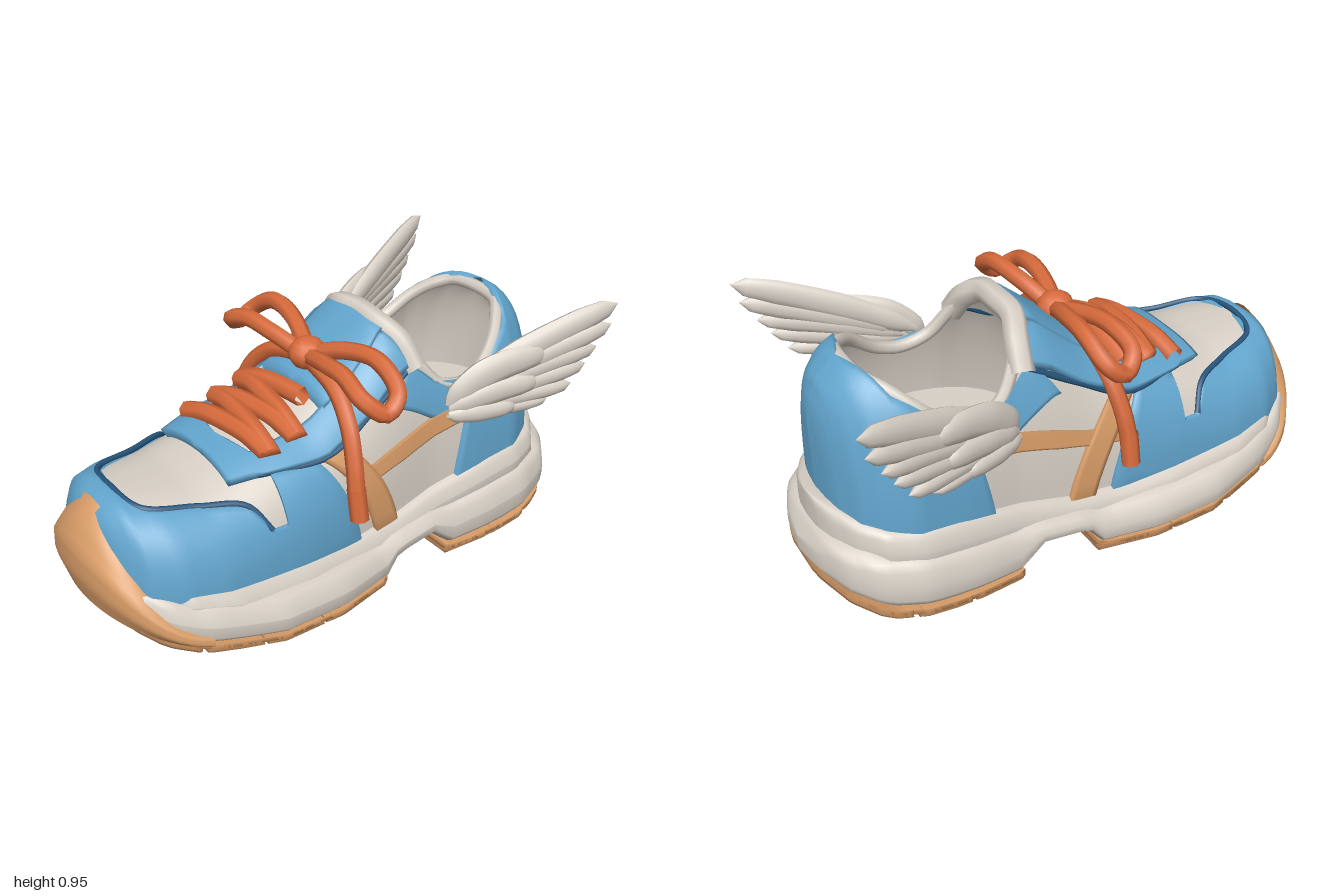
import * as THREE from 'three';

const mat = (name, color) => new THREE.MeshStandardMaterial({ name, color, side: THREE.DoubleSide });
const { lerp, clamp } = THREE.MathUtils;

// Piecewise linear curve through [x, value] points
const track = (pts) => (x) => {
  if (x <= pts[0][0]) return pts[0][1];
  for (let i = 1; i < pts.length; i++) {
    const [x0, y0] = pts[i - 1], [x1, y1] = pts[i];
    if (x <= x1) return lerp(y0, y1, (x - x0) / (x1 - x0));
  }
  return pts[pts.length - 1][1];
};

// Signed power, for rounded-box sections
const spow = (v, p) => Math.sign(v) * Math.pow(Math.abs(v), p);

// Upper: half width, crown height and collar rim along x
const upperW = track([[-.94, 0], [-.93, .1], [-.9, .2], [-.85, .275], [-.75, .335], [-.6, .36], [-.3, .36], [0, .335],
  [.3, .315], [.5, .33], [.68, .33], [.78, .28], [.84, .22], [.88, .13], [.895, .06], [.9, 0]]);
const upperTop = track([[-.94, .45], [-.9, .53], [-.85, .57], [-.6, .56], [-.5, .58], [-.4, .61], [-.2, .66], [0, .77],
  [.15, .9], [.22, .92], [.3, .93], [.5, .93], [.7, .9], [.76, .88], [.8, .86], [.86, .8], [.89, .72], [.9, .64]]);
const rim = track([[.2, .93], [.22, .9], [.27, .8], [.35, .7], [.45, .67], [.55, .7], [.65, .78], [.72, .835], [.77, .86], [.79, .88]]);
const BASE = .2, POW = .75;

// Angle around the upper's section (0 = crown, PI/2 = bottom) for a height
const angleAt = (x, y) => Math.acos(Math.pow(clamp((y - BASE) / (upperTop(x) - BASE), 0, 1), 1 / POW));
const onUpper = (x, a, side, off = 0) => [
  x * (1 + off),
  BASE + (upperTop(x) - BASE + off) * Math.pow(Math.max(0, Math.cos(a)), POW),
  side * (upperW(x) + off * Math.min(1, upperW(x) * 12)) * Math.pow(Math.max(0, Math.sin(a)), POW)];
const upperAtZ = (x, z, off) => {
  const s = Math.pow(clamp(Math.abs(z) / upperW(x), 0, 1), 1 / POW);
  return onUpper(x, Math.asin(s), Math.sign(z), off);
};

// Sole: half width, underside and top along x
const soleW = track([[-.97, 0], [-.96, .12], [-.94, .2], [-.9, .28], [-.82, .36], [-.7, .415], [-.45, .47], [-.2, .465], [.05, .415],
  [.25, .4], [.5, .42], [.7, .415], [.85, .36], [.93, .27], [.98, .15], [.993, .08], [1, 0]]);
const soleBottom = track([[-1, .34], [-.95, .235], [-.85, .155], [-.74, .105], [-.6, .075], [-.45, .05], [-.2, .035], [.02, .035],
  [.07, .12], [.26, .13], [.34, .035], [.6, .035], [.8, .055], [.92, .11], [1, .17]]);
const soleTop = track([[-1, .42], [-.9, .36], [-.75, .3], [-.5, .25], [-.2, .23], [0, .22], [.3, .25], [.6, .29], [.85, .315], [.96, .3], [1, .23]]);
const tierW = track([[-.86, 0], [-.85, .2], [-.83, .3], [-.75, .365], [-.6, .405], [-.3, .41], [0, .38], [.3, .36], [.5, .375],
  [.68, .375], [.8, .335], [.88, .25], [.93, .15], [.95, .08], [.955, 0]]);
const tierTop = track([[-.86, .36], [-.6, .3], [-.1, .255], [.1, .27], [.3, .315], [.55, .365], [.75, .38], [.955, .415]]);

export function createModel() {
  const shoe = new THREE.Group();
  shoe.name = 'wingedSneaker';
  const blue = mat('blue panels', 0x62a4cc), grey = mat('warm grey', 0xd8d0c6), tan = mat('tan rubber', 0xd99d68);
  const orange = mat('orange laces', 0xd86b3c), navy = mat('navy edging', 0x28567c);

  const add = (name, geo, m, parent = shoe) => {
    const mesh = new THREE.Mesh(geo, m);
    mesh.name = name;
    parent.add(mesh);
    return mesh;
  };
  // Surface from a rule on a unit grid
  const grid = (name, m, nu, nv, fn, parent) => {
    const pos = [], idx = [];
    for (let i = 0; i <= nu; i++) for (let j = 0; j <= nv; j++) {
      pos.push(...fn(i / nu, j / nv, i, j));
      if (i < nu && j < nv) {
        const a = i * (nv + 1) + j, b = a + nv + 1;
        idx.push(a, b, a + 1, b, b + 1, a + 1);
      }
    }
    const g = new THREE.BufferGeometry();
    g.setAttribute('position', new THREE.Float32BufferAttribute(pos, 3));
    g.setIndex(idx);
    g.computeVertexNormals();
    return add(name, g, m, parent);
  };
  const tube = (name, m, pts, r, closed = false, seg = 40, parent) => add(name, new THREE.TubeGeometry(
    new THREE.CatmullRomCurve3(pts.map((p) => new THREE.Vector3(...p)), closed), seg, r, 7, closed), m, parent);
  // Raised panel on both sides, ruled between two [x, y] outlines; its border drops to the upper
  const panel = (name, m, lower, upper, off) => {
    const lo = lower.map(([x, y]) => [x, angleAt(x, y)]), hi = upper.map(([x, y]) => [x, angleAt(x, y)]);
    const n = lo.length - 1, nu = n * 6 + 2, nv = 14;
    for (const side of [1, -1]) grid(name, m, nu, nv, (u, v, i, j) => {
      const s = clamp((i - 1) / (nu - 2), 0, 1) * n, k = Math.min(n - 1, Math.floor(s)), f = s - k;
      const t = clamp((j - 1) / (nv - 2), 0, 1);
      const mix = (c) => lerp(lerp(lo[k][c], lo[k + 1][c], f), lerp(hi[k][c], hi[k + 1][c], f), t);
      const x = mix(0), a = mix(1);
      const edge = upperW(x) > .01 && (i === 0 || i === nu || j === 0 || (j === nv && a > .02));
      return onUpper(x, a, side, edge ? 0 : off);
    });
  };

  // Upper shell with the ankle opening
  for (const side of [1, -1]) grid('upperShell', grey, 72, 16, (u, v) => {
    const x = -.02 - .92 * Math.cos(u * Math.PI);
    return onUpper(x, lerp(angleAt(x, rim(x)), Math.PI / 2, v), side);
  });
  const insole = add('insole', new THREE.CylinderGeometry(1, 1, .02, 32), grey);
  insole.scale.set(.35, 1, .28);
  insole.position.set(.48, .45, 0);

  // Padded collar and tongue
  const rimXs = [.215, .24, .28, .35, .45, .55, .65, .72, .765];
  const rimSide = (side) => rimXs.map((x) => onUpper(x, angleAt(x, rim(x)), side, -.008));
  tube('collarPadding', grey, [...rimSide(1), ...rimSide(-1).reverse()], .024, true, 80);
  tube('tongueEnd', grey, [[.25, .77, .25], [.23, .86, .18], [.2, .905, .1], [.2, .915, 0], [.2, .905, -.1], [.23, .86, -.18], [.25, .77, -.25]], .045);
  panel('tongueTab', blue, [[-.1, .68], [.04, .77], [.12, .84], [.2, .89]], [[-.1, 1], [.04, 1], [.12, 1], [.2, 1]], .034);

  // Blue overlays
  const guardEdge = [[-.82, 1], [-.79, .55], [-.62, .525], [-.48, .505], [-.42, .42], [-.36, .42], [-.36, .56]];
  panel('toeGuard', blue,
    [[-.94, .2], [-.85, .2], [-.8, .2], [-.65, .2], [-.52, .2], [-.44, .2], [-.36, .2], [-.355, .2], [-.05, .2]],
    [[-.94, 1], ...guardEdge, [-.2, .57]], .016);
  const trim = (side) => guardEdge.slice(0, 5).map(([x, y]) => onUpper(x, angleAt(x, y), side, .012));
  tube('toeGuardEdge', navy, [...trim(1).reverse(), ...trim(-1).slice(1)], .011, false, 80);
  panel('eyestay', blue, [[-.5, .55], [-.41, .56], [-.38, .56], [-.15, .57], [.05, .67], [.24, .78]],
    [[-.49, 1], [-.41, 1], [-.38, .6], [-.15, .66], [.02, .76], [.18, .88]], .03);
  for (const side of [1, -1]) tube('eyestayEdge', navy,
    [[-.4, .565], [-.15, .57], [.05, .67], [.24, .78]].map(([x, y]) => onUpper(x, angleAt(x, y), side, .014)), .012);
  panel('collarPanel', blue, [[.12, .66], [.3, .575], [.52, .53]], [[.22, .79], [.32, .7], [.52, .665]], .014);
  panel('heelCounter', blue, [[.39, .2], [.55, .2], [.7, .2], [.8, .2], [.86, .2], [.9, .2]],
    [[.46, .57], [.55, .69], [.7, .81], [.78, 1], [.86, 1], [.9, 1]], .016);

  // Tan side stripes
  panel('diagonalStripe', tan, [[.02, .22], [.12, .22]], [[-.2, .58], [-.1, .6]], .02);
  panel('sideStripe', tan, [[-.1, .42], [.15, .47], [.45, .53]], [[-.1, .47], [.15, .54], [.45, .6]], .016);

  // Midsole: rounded lower layer and a narrower upper layer
  const layer = (name, x0, x1, half, low, high, p) => grid(name, grey, 64, 28, (u, v) => {
    const x = (x0 + x1) / 2 - (x1 - x0) / 2 * Math.cos(u * Math.PI), a = v * Math.PI * 2;
    const sy = spow(Math.sin(a), p), b = low(x), t = high(x);
    return [x, lerp(b, t, (sy + 1) / 2), half(x) * spow(Math.cos(a), p) * (1 - .04 * sy)];
  });
  layer('midsole', -.97, 1, soleW, soleBottom, soleTop, .55);
  layer('midsoleUpperLayer', -.86, .955, tierW, (x) => soleTop(x) - .1, tierTop, .5);

  // Outsole: thin base layers with deeper tread blocks, so grooves stay between them
  const blocks = [[-.96, .03, .014], [.33, .99, .014],
    [-.965, -.74, .03], [-.715, -.53, .03], [-.505, -.29, .03], [-.265, .03, .03], [.33, .52, .03], [.545, .73, .03], [.755, .99, .03]];
  const corner = [[-1, 1], [-1, .4], [-.95, 0], [.95, 0], [1, .4], [1, 1], [-1, 1]];
  for (const [x0, x1, depth] of blocks) grid('treadBlock', tan, 26, 6, (u, v, i, j) => {
    const x = lerp(x0, x1, clamp((i - 1) / 24, 0, 1)), cap = i === 0 || i === 26 ? 0 : 1;
    const [cz, cy] = corner[j];
    return [x, soleBottom(x) - depth + (depth + .018) * lerp(.5, cy, cap), soleW(x) * .96 * cz * cap];
  });

  // Toe bumper wrapping up over the front
  const bulge = track([[0, .92], [.3, 1], [.6, .99], [.85, .87], [1, .74]]);
  grid('toeBumper', tan, 28, 12, (u, v) => {
    const th = (u * 2 - 1) * 1.4, c = Math.cos(th), k = bulge(v);
    return [-.62 - .38 * Math.pow(c, .8) * k, lerp(.08 + .12 * c, .18 + .39 * Math.pow(c, 2.1), v), .425 * Math.sin(th) * k];
  });

  // Laces: zigzag, knot, loops and hanging ends
  const laces = new THREE.Group();
  laces.name = 'laces';
  shoe.add(laces);
  for (const flip of [1, -1]) {
    const z = (pts) => pts.map(([x, y, d]) => [x, y, d * flip]);
    tube('bowLoop', orange, z([[-.03, .82, .02], [-.07, .85, .15], [-.085, .86, .28], [-.09, .82, .39], [-.03, .775, .435],
      [.03, .82, .42], [.045, .885, .3], [.02, .87, .14]]), .032, true, 48, laces);
    tube('laceEnd', orange, z([[-.04, .81, .03], [-.05, .76, .19], [-.07, .67, .29], [-.09, .55, .35], [-.1, .46, .375]]), .032, false, 30, laces);
    tube('laceTip', orange, z([[-.1, .48, .372], [-.1, .36, .395]]), .034, false, 4, laces);
  }
  const zigzag = [];
  for (let i = 0; i < 5; i++) for (const f of [-1, -.5, 0, .5]) {
    zigzag.push(upperAtZ(-.385 + i * .054 + (f + 1) * .027, (i % 2 ? -1 : 1) * f * .2, .036));
  }
  tube('crossedLace', orange, zigzag, .036, false, 90, laces);
  const knot = add('bowKnot', new THREE.SphereGeometry(.07, 10, 8), orange, laces);
  knot.position.set(-.03, .82, 0);
  knot.scale.set(1, .85, 1);

  // Wings: curved feathers [start, bend, end, half width, outward layer]
  const feathers = [
    [[.36, .68], [.62, .83], [.95, .935], .052, 0], [[.4, .68], [.65, .78], [.93, .86], .045, .006],
    [[.4, .66], [.62, .74], [.88, .78], .042, .01], [[.4, .64], [.6, .68], [.84, .72], .04, .014],
    [[.38, .63], [.55, .63], [.79, .65], .036, .018], [[.36, .62], [.5, .59], [.7, .605], .03, .02],
    [[.33, .64], [.43, .79], [.68, .79], .06, .022], [[.33, .63], [.46, .69], [.65, .69], .05, .03],
    [[.32, .61], [.42, .6], [.57, .61], .04, .034]];
  const girth = track([[0, .25], [.12, .75], [.45, 1], [.8, .9], [.94, .65], [1, 0]]);
  for (const side of [1, -1]) {
    const wing = new THREE.Group();
    wing.name = side > 0 ? 'leftWing' : 'rightWing';
    shoe.add(wing);
    for (const [a, b, c, half, out] of feathers) {
      const curve = new THREE.QuadraticBezierCurve(...[a, b, c].map((p) => new THREE.Vector2(...p)));
      grid('feather', grey, 14, 10, (u, v) => {
        const p = curve.getPoint(u), d = curve.getTangent(u), g = girth(u), t = v * Math.PI * 2;
        const x = p.x - d.y * half * g * Math.cos(t), y = p.y + d.x * half * g * Math.cos(t);
        return [x, y, side * (.325 + (x - .32) * .33 + out + .032 * g * Math.sin(t))];
      }, wing);
    }
  }
  return shoe;
}
